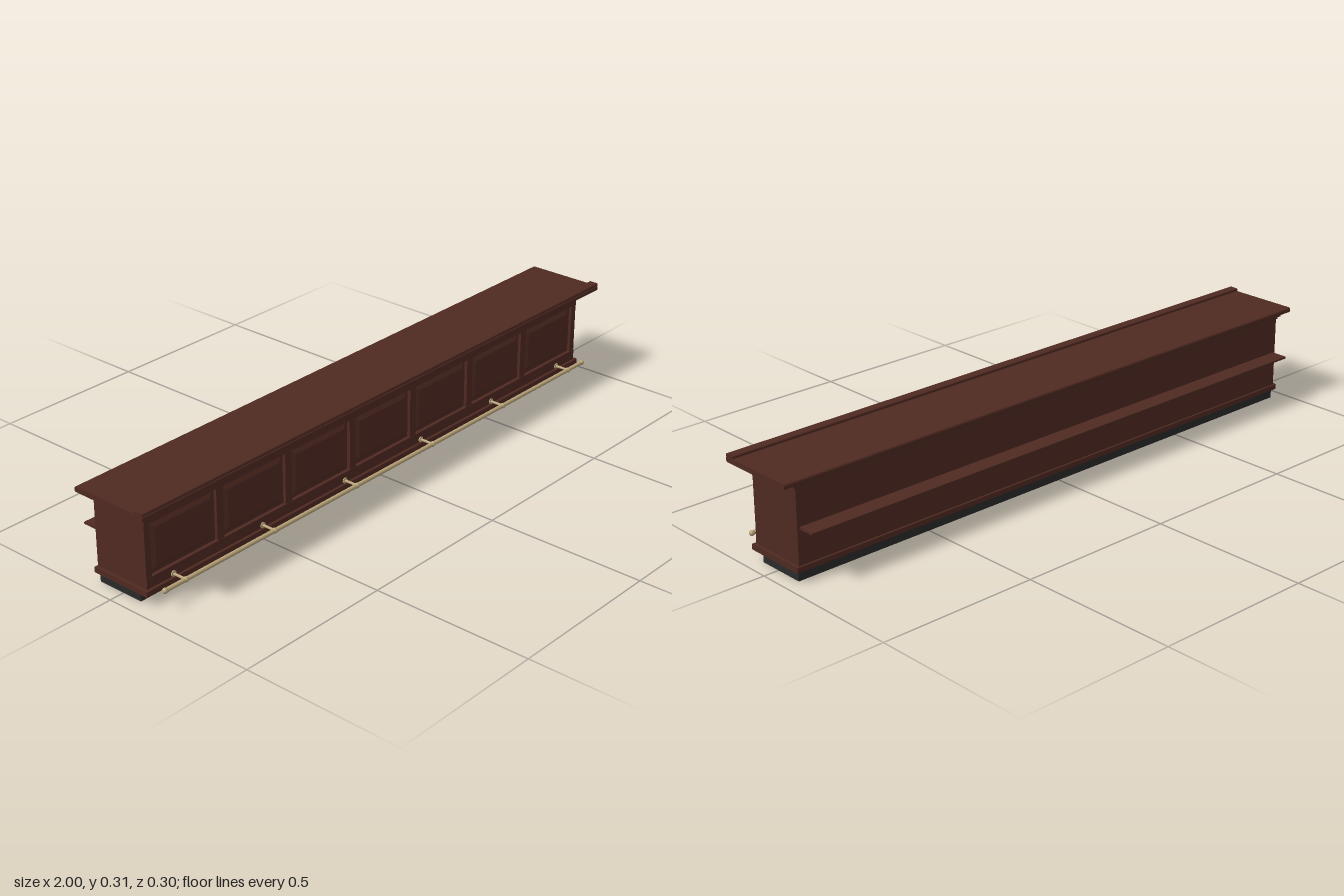
import * as THREE from 'three';

const wood = new THREE.MeshStandardMaterial({ color: 0x4f2a21 });
wood.name = 'mahogany wood';
const kick = new THREE.MeshStandardMaterial({ color: 0x2a2a2b });
kick.name = 'charcoal plinth';
const brass = new THREE.MeshStandardMaterial({ color: 0xb8a378 });
brass.name = 'pale brass';

export function createModel() {
  const model = new THREE.Group();
  model.name = 'barCounter';

  function add(geometry, material, name, parent = model) {
    const mesh = new THREE.Mesh(geometry, material);
    mesh.name = name;
    parent.add(mesh);
    return mesh;
  }

  // Box given by its limits on each axis
  function box(name, x0, x1, y0, y1, z0, z1, material = wood, parent = model) {
    const mesh = add(new THREE.BoxGeometry(x1 - x0, y1 - y0, z1 - z0), material, name, parent);
    mesh.position.set((x0 + x1) / 2, (y0 + y1) / 2, (z0 + z1) / 2);
    return mesh;
  }

  // Long board with rounded edges, extruded along x
  function board(name, halfLength, y0, y1, z0, z1, r) {
    const s = new THREE.Shape();
    const a = -z1, b = -z0;
    s.moveTo(a + r, y0);
    s.lineTo(b - r, y0);
    s.absarc(b - r, y0 + r, r, -Math.PI / 2, 0);
    s.absarc(b - r, y1 - r, r, 0, Math.PI / 2);
    s.absarc(a + r, y1 - r, r, Math.PI / 2, Math.PI);
    s.absarc(a + r, y0 + r, r, Math.PI, Math.PI * 1.5);
    const g = new THREE.ExtrudeGeometry(s, { depth: 2 * halfLength, bevelEnabled: false, curveSegments: 4 });
    g.translate(0, 0, -halfLength);
    g.rotateY(Math.PI / 2);
    return add(g, wood, name);
  }

  // Carcass, plinth and mouldings
  box('toeKick', -0.952, 0.952, 0, 0.03, -0.089, 0.067, kick);
  board('baseMoulding', 0.962, 0.029, 0.047, -0.1, 0.103, 0.003);
  box('body', -0.953, 0.953, 0.046, 0.272, -0.095, 0.084);
  board('lowerCornice', 0.958, 0.27, 0.279, -0.097, 0.102, 0.002);
  board('upperCornice', 0.965, 0.278, 0.287, -0.103, 0.11, 0.002);
  board('counterTop', 1, 0.286, 0.302, -0.113, 0.143, 0.006);
  board('armRest', 1, 0.301, 0.311, 0.112, 0.143, 0.004);
  board('backShelf', 0.945, 0.152, 0.159, -0.149, -0.09, 0.002);

  // Panelled front: rails, stiles and seven raised panels
  const front = new THREE.Group();
  front.name = 'panelledFront';
  model.add(front);
  const count = 7, pitch = 0.27, stile = 0.026, bottom = 0.08, top = 0.238;
  box('topRail', -0.953, 0.953, top, 0.271, 0.083, 0.095, wood, front);
  box('bottomRail', -0.953, 0.953, 0.046, bottom, 0.083, 0.095, wood, front);
  for (let i = 0; i <= count; i++) {
    const x = (i - count / 2) * pitch;
    const half = stile / 2;
    const x0 = i === 0 ? -0.953 : x - half;
    const x1 = i === count ? 0.953 : x + half;
    box('stile', x0, x1, bottom, top, 0.083, 0.094, wood, front);
  }

  // Raised field: a box whose front face is drawn in to make the bevel
  function raisedPanel(w, h, d, inset) {
    const g = new THREE.BoxGeometry(w, h, d).toNonIndexed();
    const p = g.attributes.position;
    for (let i = 0; i < p.count; i++) {
      if (p.getZ(i) > 0) {
        p.setX(i, p.getX(i) - Math.sign(p.getX(i)) * inset);
        p.setY(i, p.getY(i) - Math.sign(p.getY(i)) * inset);
      }
    }
    g.computeVertexNormals();
    return g;
  }
  const panelGeometry = raisedPanel(pitch - stile - 0.014, top - bottom - 0.014, 0.007, 0.014);
  for (let i = 0; i < count; i++) {
    const panel = add(panelGeometry, wood, 'raisedPanel', front);
    panel.position.set((i - (count - 1) / 2) * pitch, (top + bottom) / 2, 0.0868);
  }

  // Brass foot rail on six brackets
  const rail = new THREE.Group();
  rail.name = 'footRail';
  rail.position.set(0, 0.055, 0.142);
  model.add(rail);
  add(new THREE.CylinderGeometry(0.0065, 0.0065, 1.87, 16), brass, 'railTube', rail).rotation.z = Math.PI / 2;
  for (const side of [-1, 1]) {
    add(new THREE.SphereGeometry(0.0085, 16, 12), brass, 'railEnd', rail).position.x = side * 0.933;
  }
  for (let i = 0; i < 6; i++) {
    const bracket = new THREE.Group();
    bracket.name = 'railBracket';
    bracket.position.x = (i - 2.5) * 0.343;
    rail.add(bracket);
    const arm = add(new THREE.CylinderGeometry(0.004, 0.004, 0.048, 12), brass, 'bracketArm', bracket);
    arm.rotation.x = Math.PI / 2;
    arm.position.z = -0.024;
    const flange = add(new THREE.CylinderGeometry(0.009, 0.009, 0.004, 16), brass, 'bracketFlange', bracket);
    flange.rotation.x = Math.PI / 2;
    flange.position.z = -0.046;
    add(new THREE.SphereGeometry(0.0085, 16, 12), brass, 'bracketCollar', bracket);
  }

  return model;
}
